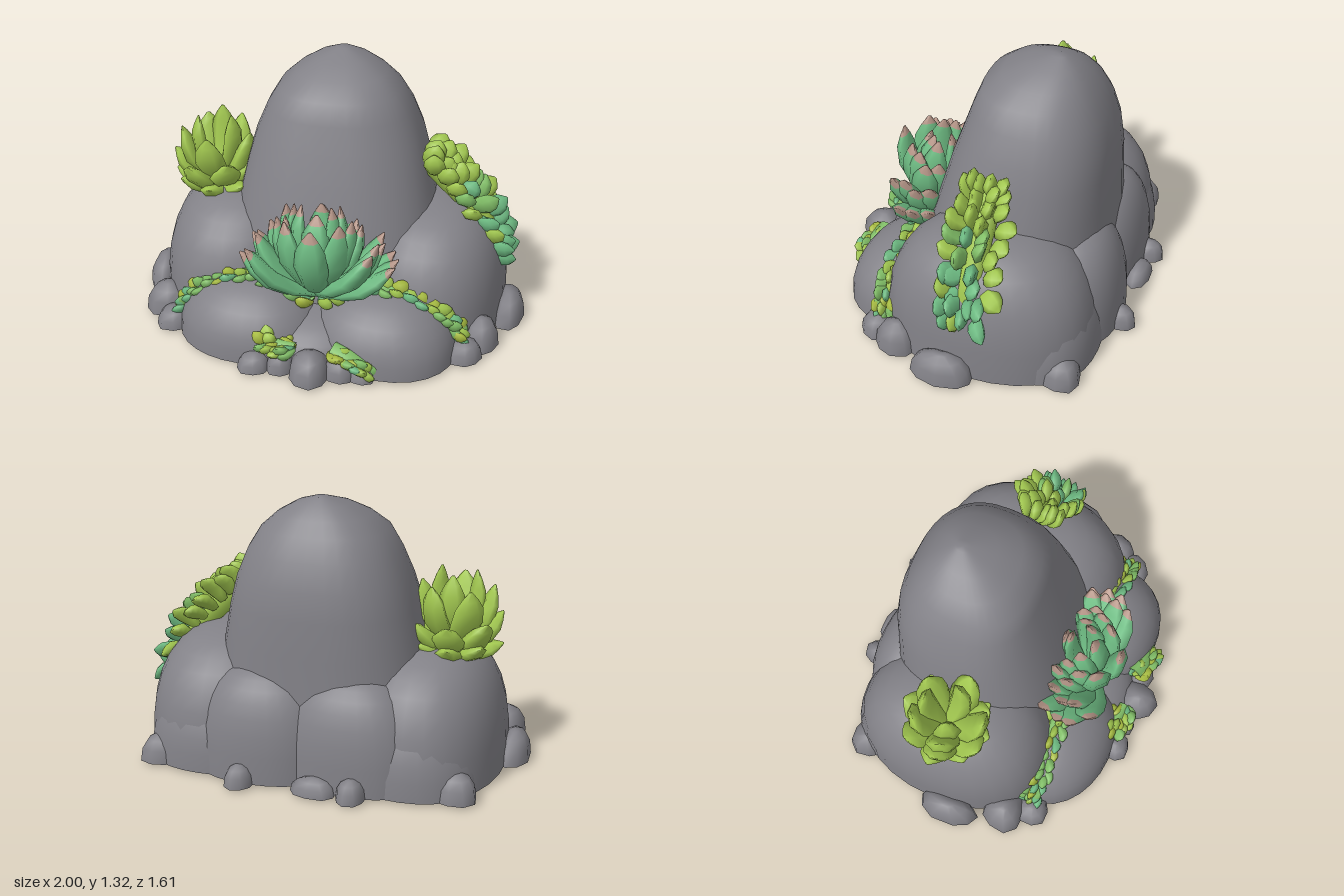
import * as THREE from 'three';

const mat = (name, color) => {
  const m = new THREE.MeshStandardMaterial({ color });
  m.name = name;
  return m;
};
const ROCK = mat('rock grey', 0x828187);
const GREEN = mat('succulent green', 0x6fbd84);
const PINK = mat('pink tip', 0xb8988a);
const LIME = mat('lime leaf', 0xa2c850);
const MOSS = mat('moss green', 0x82c068);
const YELLOW = mat('yellow green', 0xaabf42);

let seed = 7;
const rand = () => (seed = (seed * 16807) % 2147483647) / 2147483647;
const jit = (a) => (rand() - 0.5) * 2 * a;
const pick = (...list) => list[Math.floor(rand() * list.length)];

// Closed skin over rings of equal size; bands from tipBand on use material 1
function loft(rings, tipBand = Infinity) {
  const n = rings[0].length, pos = [], idx = [];
  rings.flat().forEach((p) => pos.push(...p));
  const centre = (ring) => {
    const c = [0, 1, 2].map((k) => ring.reduce((s, p) => s + p[k], 0) / n);
    return pos.push(...c) / 3 - 1;
  };
  const bottom = centre(rings[0]), top = centre(rings[rings.length - 1]);
  for (let i = 0; i < n; i++) idx.push(bottom, i, (i + 1) % n);
  let split = -1;
  for (let j = 0; j < rings.length - 1; j++) {
    if (j === tipBand) split = idx.length;
    for (let i = 0; i < n; i++) {
      const a = j * n + i, c = j * n + (i + 1) % n;
      idx.push(a, a + n, c, c, a + n, c + n);
    }
  }
  const last = (rings.length - 1) * n;
  for (let i = 0; i < n; i++) idx.push(top, last + (i + 1) % n, last + i);
  const g = new THREE.BufferGeometry();
  g.setAttribute('position', new THREE.Float32BufferAttribute(pos, 3));
  g.setIndex(idx);
  if (split > 0) {
    g.addGroup(0, split, 0);
    g.addGroup(split, idx.length - split, 1);
  }
  g.computeVertexNormals();
  return g;
}

const sp = (v, e) => Math.sign(v) * Math.pow(Math.abs(v), 2 / e);

// Superellipse ring with a slight lumpy wobble
function ring(y, cx, cz, rx, rz, e, n, phase, wobble) {
  return Array.from({ length: n }, (_, i) => {
    const t = (i / n) * Math.PI * 2;
    const k = 1 + wobble * Math.sin(3 * t + phase);
    return [cx + rx * k * sp(Math.cos(t), e), y, cz + rz * k * sp(Math.sin(t), e)];
  });
}

// Dome-shaped stone standing flat on the ground
function stone(name, x, z, rx, rz, h, { e = 2.2, n = 28, rows = 9, wobble = 0.02 } = {}) {
  const phase = x * 9 + z * 5, rings = [];
  for (let j = 0; j < rows; j++) {
    const a = (j / (rows - 0.6)) * Math.PI / 2;
    const r = sp(Math.cos(a), e);
    rings.push(ring(h * sp(Math.sin(a), e), x, z, rx * r, rz * r, 2.2, n, phase, wobble));
  }
  rings.unshift(rings[0].map((p) => [...p])); // keeps the base edge sharp
  const m = new THREE.Mesh(loft(rings), ROCK);
  m.name = name;
  return m;
}

// Fleshy blunt leaf growing along +y and bulging towards +z
function leaf(len, w, body, tip) {
  const sections = [[0, 0.5], [0.25, 0.82], [0.55, 1], [0.78, 0.85], [0.9, 0.5], [1, 0.1]];
  const rings = sections.map(([t, k]) => ring(t * len, 0,
    len * 0.12 * Math.sin(t * Math.PI), w * k, w * k * 0.55, 2, 6, 0, 0));
  const m = new THREE.Mesh(loft(rings, 4), [body, tip]);
  m.name = 'leaf';
  return m;
}

// Layers of leaves: [count, tilt in degrees, length, half width]; depth narrows the fan in z
function rosette(name, layers, depth, body, tip) {
  const g = new THREE.Group();
  g.name = name;
  layers.forEach(([count, tilt, len, w], k) => {
    for (let i = 0; i < count; i++) {
      const az = ((i + (k % 2) * 0.5) / count) * Math.PI * 2;
      const t = THREE.MathUtils.degToRad(tilt + jit(4));
      const x = Math.sin(az) * Math.sin(t), z = Math.cos(az) * Math.sin(t) * depth;
      const l = leaf(len * (1 + jit(0.05)), w, body, tip);
      l.rotation.order = 'YXZ';
      l.rotation.y = Math.atan2(x, z);
      l.rotation.x = Math.atan2(Math.hypot(x, z), Math.cos(t));
      g.add(l);
    }
  });
  return g;
}

// Soft stem along a path, covered in small leaves
function trail(name, points, { steps, perStep, len, w, spread, out, colours, stem, stemColour }) {
  const g = new THREE.Group();
  g.name = name;
  const curve = new THREE.CatmullRomCurve3(points.map((p) => new THREE.Vector3(...p)));
  const core = new THREE.Mesh(new THREE.TubeGeometry(curve, 16, stem, 7), stemColour);
  core.name = 'stem';
  g.add(core);
  const up = new THREE.Vector3(0, 1, 0);
  for (let s = 0; s < steps; s++) {
    const u = s / (steps - 1), p = curve.getPoint(u);
    const width = Math.sin(Math.PI * (0.2 + 0.6 * u));
    for (let k = 0; k < perStep; k++) {
      const side = (k / (perStep - 1)) * 2 - 1;
      const c = colours(u);
      const l = leaf(len * (1 + jit(0.15)), w, c, c);
      const dir = new THREE.Vector3(...out(u)).add(
        new THREE.Vector3(jit(0.35), jit(0.35), side * 0.65 * width + jit(0.2))).normalize();
      l.quaternion.setFromUnitVectors(up, dir);
      l.position.copy(p);
      l.position.z += side * spread * width;
      g.add(l);
    }
  }
  return g;
}

export function createModel() {
  const model = new THREE.Group();
  model.name = 'rock with succulents';

  // Tall centre boulder: [y, half width, front z, back z]
  const profile = [[0, 0.6, 0.42, -0.62], [0, 0.6, 0.42, -0.62], [0.3, 0.56, 0.36, -0.6],
    [0.6, 0.5, 0.27, -0.585], [0.78, 0.46, 0.215, -0.58], [0.92, 0.42, 0.165, -0.562],
    [1.05, 0.365, 0.12, -0.525], [1.15, 0.305, 0.08, -0.475], [1.22, 0.225, -0.01, -0.425],
    [1.275, 0.13, -0.12, -0.37], [1.31, 0.03, -0.24, -0.31]];
  const boulder = new THREE.Mesh(loft(profile.map(([y, rx, f, b]) =>
    ring(y, 0, (f + b) / 2, rx, (f - b) / 2, 2.5, 36, 1, 0.008))), ROCK);
  boulder.name = 'centreBoulder';
  model.add(boulder);

  // Surrounding boulders
  for (const s of [-1, 1]) {
    model.add(
      stone('sideBoulder', s * 0.5, -0.13, 0.4, 0.53, 0.61, { e: 2.7, wobble: 0.01 }),
      stone('frontBoulder', s * 0.33, 0.33, 0.38, 0.34, 0.325),
      stone('backBoulder', s * 0.22, -0.47, 0.36, 0.245, 0.52, { e: 2.5 }),
      stone('cornerBoulder', s * 0.5, -0.4, 0.33, 0.28, 0.42));
  }
  model.add(stone('frontFill', 0, 0.35, 0.3, 0.31, 0.2));

  // Pebbles around the foot: [x, z, rx, rz, height]
  const pebbles = [[-0.92, -0.02, 0.08, 0.16, 0.14], [0.92, -0.02, 0.08, 0.16, 0.14],
    [-0.82, 0.26, 0.11, 0.11, 0.15], [0.8, 0.26, 0.09, 0.11, 0.15],
    [-0.75, 0.39, 0.09, 0.09, 0.09], [0.73, 0.39, 0.09, 0.09, 0.1],
    [-0.74, -0.56, 0.1, 0.1, 0.13], [0.74, -0.56, 0.1, 0.1, 0.13],
    [-0.28, -0.72, 0.07, 0.08, 0.1], [-0.1, -0.71, 0.11, 0.07, 0.08],
    [0.27, -0.72, 0.07, 0.08, 0.1], [-0.26, 0.67, 0.08, 0.08, 0.08],
    [-0.13, 0.66, 0.07, 0.07, 0.1], [0.02, 0.69, 0.1, 0.11, 0.13],
    [0.16, 0.66, 0.08, 0.07, 0.1], [0.27, 0.64, 0.07, 0.08, 0.07]];
  pebbles.forEach((p) => model.add(stone('pebble', ...p, { e: 2.3, n: 9, rows: 4, wobble: 0.06 })));

  // Large pink-tipped rosette at the front
  const big = rosette('frontSucculent', [[11, 64, 0.43, 0.085], [10, 47, 0.43, 0.085],
    [8, 30, 0.44, 0.08], [5, 14, 0.46, 0.07]], 0.32, GREEN, PINK);
  big.position.set(0, 0.29, 0.4);
  big.rotation.x = -0.17;
  model.add(big);

  // Lime rosette on the right shoulder
  const lime = rosette('limeSucculent', [[8, 78, 0.23, 0.072], [7, 54, 0.28, 0.084],
    [5, 30, 0.37, 0.084], [3, 12, 0.4, 0.07]], 1, LIME, LIME);
  lime.position.set(-0.625, 0.58, -0.12);
  model.add(lime);

  // Cascading plant on the left shoulder
  model.add(trail('cascadingSucculent',
    [[0.47, 0.8, -0.115], [0.56, 0.71, -0.115], [0.67, 0.6, -0.115], [0.76, 0.47, -0.115], [0.8, 0.34, -0.115]],
    { steps: 10, perStep: 4, len: 0.14, w: 0.056, spread: 0.075, stem: 0.06, stemColour: LIME,
      out: (u) => [0.2 + 0.65 * u, 1 - 1.1 * u, 0],
      colours: (u) => (u < 0.4 ? LIME : u < 0.65 ? pick(LIME, LIME, MOSS, GREEN) : pick(LIME, GREEN, GREEN)) }));

  // Creeping vines over the front boulders
  const vine = { perStep: 3, len: 0.085, w: 0.04, spread: 0.02, stem: 0.03, stemColour: MOSS,
    colours: () => pick(LIME, MOSS, GREEN, MOSS, YELLOW) };
  for (const s of [-1, 1]) {
    model.add(trail('vine', [[s * 0.02, 0.24, 0.42], [s * 0.18, 0.31, 0.36], [s * 0.36, 0.315, 0.35],
      [s * 0.53, 0.26, 0.355], [s * 0.63, 0.18, 0.36], [s * 0.68, 0.11, 0.36]],
    { ...vine, steps: 16, out: (u) => [s * (0.8 + u * 0.2), 0.4 - 0.7 * u, 0] }));
  }
  model.add(
    trail('footVine', [[0.12, 0.11, 0.62], [0.2, 0.09, 0.64], [0.27, 0.05, 0.65]],
      { ...vine, stem: 0.05, steps: 7, out: () => [0.6, 0.1, 0.3] }),
    trail('footVine', [[-0.2, 0.11, 0.62], [-0.14, 0.115, 0.63], [-0.06, 0.11, 0.64]],
      { ...vine, steps: 5, out: () => [-0.4, 0.2, 0.2] }));
  return model;
}
